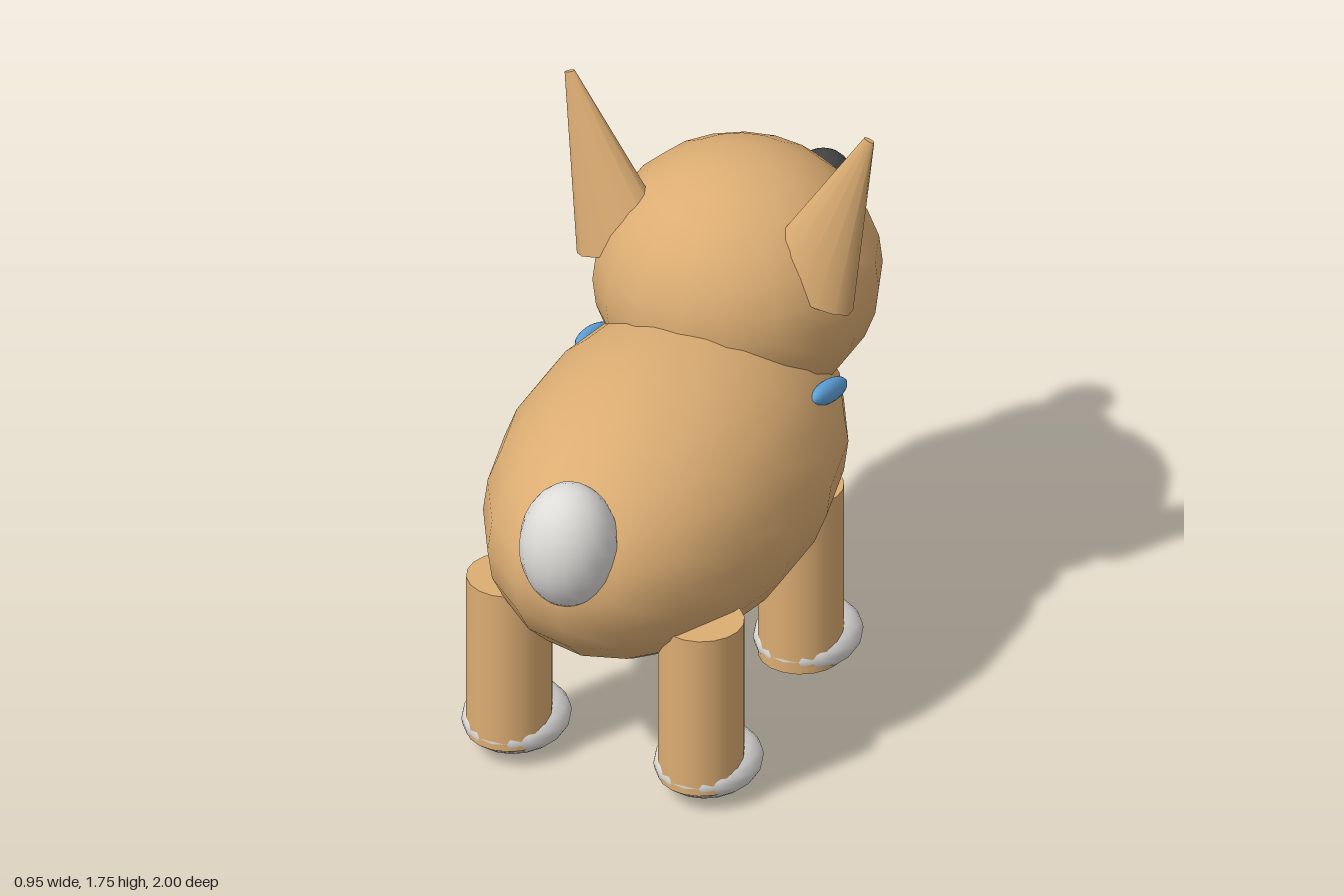
import * as THREE from 'three';

const mat = (name, color) => {
  const m = new THREE.MeshStandardMaterial({ color });
  m.name = name;
  return m;
};

export function createModel() {
  const group = new THREE.Group();
  const tan = mat('tan fur', 0xdcad73);
  const white = mat('white fur', 0xdedcd9);
  const dark = mat('dark nose', 0x444444);
  const blue = mat('blue collar', 0x5fa3dc);

  const add = (name, geometry, material, position, parent = group) => {
    const mesh = new THREE.Mesh(geometry, material);
    mesh.name = name;
    mesh.position.set(...position);
    parent.add(mesh);
    return mesh;
  };
  // Smooth ellipsoid with the given radii
  const ball = (rx, ry, rz) =>
    new THREE.SphereGeometry(1, 18, 14).rotateY(Math.PI / 2).scale(rx, ry, rz);

  // Body, belly patch and tail
  add('body', ball(0.457, 0.425, 0.75), tan, [0, 0.735, 0.18]);
  add('belly', ball(0.2, 0.17, 0.2), white, [0, 0.5, -0.12]);
  add('tail', ball(0.14, 0.188, 0.145), white, [0, 0.888, 0.855]);

  // Head, muzzle and nose
  add('head', ball(0.408, 0.38, 0.42), tan, [0, 1.13, -0.32]);
  add('muzzle', ball(0.2, 0.163, 0.23), white, [0, 1.05, -0.69]);
  add('nose', ball(0.084, 0.084, 0.084), dark, [0, 1.1, -0.916]);

  for (const side of [-1, 1]) {
    const label = side > 0 ? 'left' : 'right';

    // Flattened cone ear, leaning outwards, with a pale streak on its face
    const ear = new THREE.Group();
    ear.name = label + 'Ear';
    ear.position.set(side * 0.367, 1.489, -0.18);
    ear.rotation.set(-0.055, 0, -side * 0.349);
    group.add(ear);
    const cone = new THREE.CylinderGeometry(0.016, 0.156, 0.545, 14).scale(1, 1, 0.5);
    add(label + 'EarShell', cone, tan, [0, 0, 0], ear);
    const streak = add(label + 'InnerEar', ball(0.012, 0.07, 0.008), white, [0, 0.12, -0.025], ear);
    streak.rotation.x = 0.13;

    // Collar edge showing between head and body
    const collar = add(label + 'Collar', ball(0.03, 0.034, 0.115), blue, [side * 0.362, 0.925, -0.135]);
    collar.rotation.x = -0.28;

    // Legs and paws: [name, x, z, top, bottom]
    for (const [part, x, z, top, bottom] of [
      ['Front', 0.278, -0.132, 0.6, 0.045],
      ['Back', 0.295, 0.6, 0.57, 0.06],
    ]) {
      const leg = new THREE.CylinderGeometry(0.122, 0.122, top - bottom, 18);
      add(label + part + 'Leg', leg, tan, [side * x, (top + bottom) / 2, z]);
      add(label + part + 'Paw', ball(0.152, 0.083, 0.173), white, [side * x, 0.083, z - 0.05]);
    }
  }
  return group;
}
